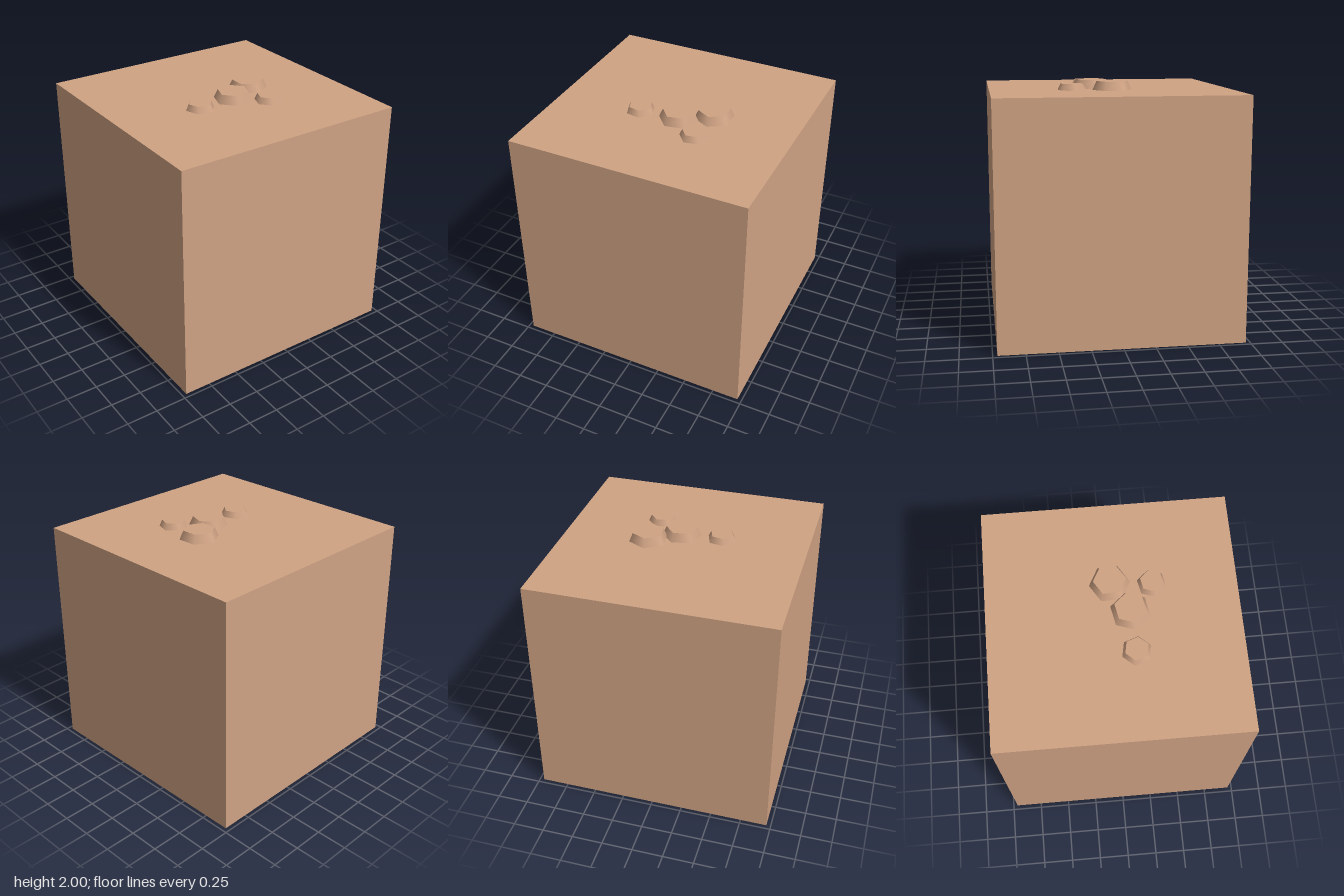
import * as THREE from 'three';

export function createModel() {
  const model = new THREE.Group();
  const clay = new THREE.MeshStandardMaterial({ color: 0xd0a384 });
  clay.name = 'clay brown';

  // Main cube of earth
  const size = 1.93;
  const block = new THREE.Mesh(new THREE.BoxGeometry(size, size, size), clay);
  block.name = 'block';
  block.position.y = size / 2;
  model.add(block);

  // Six-sided tapered pebbles: x, z, base radius, height, turn of one corner from +x towards +z
  const pebbles = [
    [-0.275, 0.147, 0.117, 0.05, 11],
    [0.047, 0.13, 0.157, 0.07, -11],
    [0.288, -0.008, 0.158, 0.07, 28],
    [0.262, 0.312, 0.115, 0.05, -11],
  ];
  pebbles.forEach(([x, z, radius, height, turn], i) => {
    const start = Math.PI / 2 - THREE.MathUtils.degToRad(turn);
    const pebble = new THREE.Mesh(
      new THREE.CylinderGeometry(radius * 0.8, radius, height, 6, 1, false, start),
      clay
    );
    pebble.name = `pebble${i + 1}`;
    pebble.position.set(x, size + height / 2, z);
    model.add(pebble);
  });

  return model;
}
